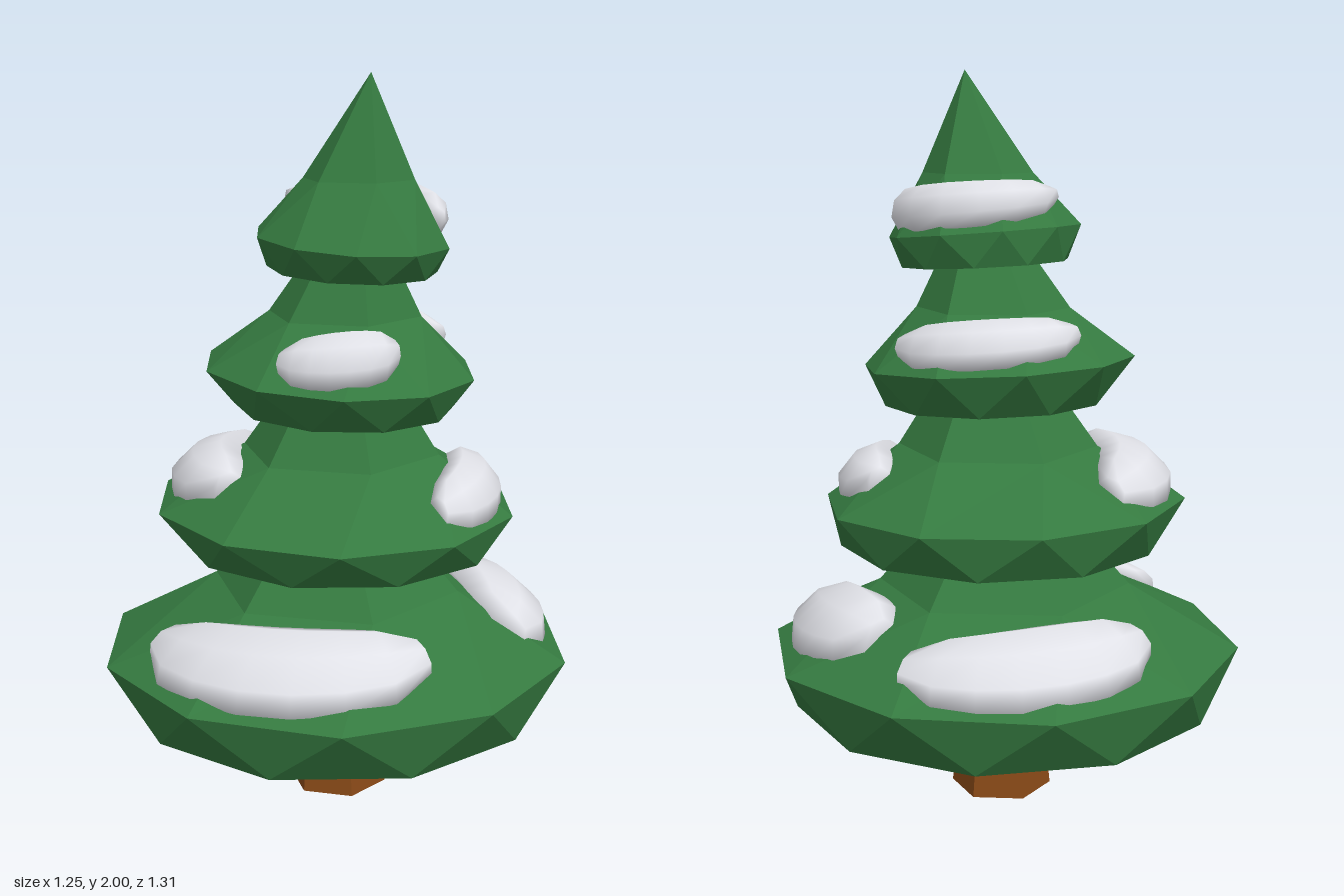
import * as THREE from 'three';

const lerp = THREE.MathUtils.lerp;
const rad = THREE.MathUtils.degToRad;

// Ring of n points; angle runs from +x towards +z, and k tilts the ring down towards +x and +z
const ring = (y, r, n, phase, cx = 0, cz = 0, k = 0) => ({ y, r, n, phase, cx, cz, k });
const UP = new THREE.Vector3(0, 1, 0);

function ringPoint(g, deg) {
  const dx = g.n === 1 ? 0 : g.r * Math.cos(rad(deg));
  const dz = g.n === 1 ? 0 : g.r * Math.sin(rad(deg));
  return new THREE.Vector3(g.cx + dx, g.y - g.k * (dx + dz), g.cz + dz);
}

// Faceted skin over a stack of rings that may differ in side count (n = 1 is a tip)
function skin(rings) {
  const out = [];
  const tri = (...p) => p.forEach(v => out.push(v.x, v.y, v.z));
  for (let s = 0; s + 1 < rings.length; s++) {
    const A = rings[s], B = rings[s + 1];
    const nA = A.n === 1 ? 0 : A.n, nB = B.n === 1 ? 0 : B.n;
    const ang = (g, i) => g.phase + (i * 360) / g.n;
    const at = (g, i) => ringPoint(g, ang(g, i));
    let i = 0, j = 0;
    while (i < nA || j < nB) {
      if (j >= nB || (i < nA && ang(A, i + 1) <= ang(B, j + 1))) {
        tri(at(A, i + 1), at(A, i), at(B, j));
        i++;
      } else {
        tri(at(B, j), at(B, j + 1), at(A, i));
        j++;
      }
    }
  }
  const geo = new THREE.BufferGeometry();
  geo.setAttribute('position', new THREE.Float32BufferAttribute(out, 3));
  geo.computeVertexNormals();
  return geo;
}

// Each tier: underside ring, wide rim, six-sided shoulder, tip
const TIERS = [
  { base: ring(0.27, 0.585, 10, 0), rim: ring(0.43, 0.657, 10, 18),
    mid: ring(0.6, 0.35, 6, 15), tip: ring(1.0, 0, 1, 0) },
  { base: ring(0.73, 0.44, 10, 0, 0.015, -0.01), rim: ring(0.845, 0.5, 10, 18, 0, 0, 0.015),
    mid: ring(0.99, 0.275, 6, 15, 0.015, 0.01), tip: ring(1.4, 0, 1, 0, 0.03, 0.03) },
  { base: ring(1.115, 0.3, 10, 0, 0.025, 0.01, 0.02), rim: ring(1.225, 0.372, 10, 18, 0.012, 0.015, 0.04),
    mid: ring(1.37, 0.21, 6, 15, 0.025, 0.025), tip: ring(1.72, 0, 1, 0, 0.06, 0.06) },
  { base: ring(1.49, 0.228, 10, 0, 0.045, 0.025, 0.04), rim: ring(1.575, 0.262, 10, 18, 0.045, 0.045, 0.06),
    mid: ring(1.73, 0.15, 6, 15, 0.06, 0.06), tip: ring(2.0, 0, 1, 0, 0.09, 0.085) },
];

// Snow patches: tier, start and end angle, lower and upper place on the slope, depth
const SNOW = [
  [0, 232, 310, 0.1, 0.9, 0.06],
  [0, 62, 156, 0.1, 0.95, 0.06],
  [0, -32, 19, 0.14, 0.95, 0.08],
  [1, 148, 233, 0.1, 0.95, 0.07],
  [1, -15, 50, 0.1, 0.85, 0.06],
  [2, 233, 336, 0.12, 0.9, 0.055],
  [2, 62, 122, 0.12, 0.9, 0.06],
  [3, 214, 372, 0.1, 0.85, 0.055],
];

// Rounded pad that lies along the slope of a tier and narrows at both ends
function snowPad([tier, a0, a1, t0, t1, depth]) {
  const { rim, mid } = TIERS[tier];
  const U = 7, V = 8, pos = [], index = [];
  const slope = Math.atan2(mid.y - rim.y, rim.r - mid.r);
  const put = (deg, t, lift) => {
    const c = Math.cos(rad(deg)), s = Math.sin(rad(deg));
    const r = lerp(rim.r, mid.r, t) * 0.965 + lift * Math.sin(slope);
    const y = lerp(rim.y, mid.y, t) + lift * Math.cos(slope);
    pos.push(lerp(rim.cx, mid.cx, t) + r * c,
      y - lerp(rim.k, mid.k, t) * r * (c + s),
      lerp(rim.cz, mid.cz, t) + r * s);
  };
  for (let u = 0; u <= U; u++) {
    const f = u / U, e = 2 * f - 1;
    const wide = 0.4 + 0.6 * Math.sqrt(1 - e * e);
    const centre = (t0 + t1) / 2 - 0.08 * e;
    for (let v = 0; v < V; v++) {
      const p = (v / V) * Math.PI * 2;
      const top = Math.max(0, Math.sin(p));
      const t = centre - Math.cos(p) * wide * (t1 - t0) / 2;
      const lift = Math.sin(p) > 0.01 ? depth * top * (0.35 + 0.65 * wide) : -0.035 * Math.abs(Math.sin(p));
      put(lerp(a0, a1, f), t, lift);
    }
  }
  for (let u = 0; u < U; u++) {
    for (let v = 0; v < V; v++) {
      const a = u * V + v, b = u * V + (v + 1) % V, c = a + V, d = b + V;
      index.push(a, c, b, b, c, d);
    }
  }
  // End caps
  for (let v = 1; v + 1 < V; v++) {
    index.push(0, v, v + 1, U * V, U * V + v + 1, U * V + v);
  }
  const geo = new THREE.BufferGeometry();
  geo.setAttribute('position', new THREE.Float32BufferAttribute(pos, 3));
  geo.setIndex(index);
  geo.computeVertexNormals();
  return geo;
}

export function createModel() {
  const tree = new THREE.Group();
  tree.name = 'snowyTree';
  const green = new THREE.MeshStandardMaterial({ color: 0x357a40, flatShading: true });
  const brown = new THREE.MeshStandardMaterial({ color: 0x8a4a18, flatShading: true });
  const white = new THREE.MeshStandardMaterial({ color: 0xe0e1e7, side: THREE.DoubleSide });
  const add = (name, geo, mat) => {
    const mesh = new THREE.Mesh(geo, mat);
    mesh.name = name;
    tree.add(mesh);
  };

  // Six-sided tapering trunk
  add('trunk', skin([ring(0, 0, 1, 0, 0.01), ring(0, 0.14, 6, 15, 0.008),
    ring(0.45, 0.095, 6, 15, 0.005), ring(0.45, 0, 1, 0, 0.005)]), brown);

  // Four tiers of branches
  TIERS.forEach(({ base, rim, mid, tip }, i) => {
    const under = ring(base.y, 0, 1, 0, base.cx, base.cz);
    add(`branchTier${i + 1}`, skin([under, base, rim, mid, tip]), green);
  });

  // Snow resting on the branches
  SNOW.forEach((patch, i) => add(`snowPatch${i + 1}`, snowPad(patch), white));
  return tree;
}
